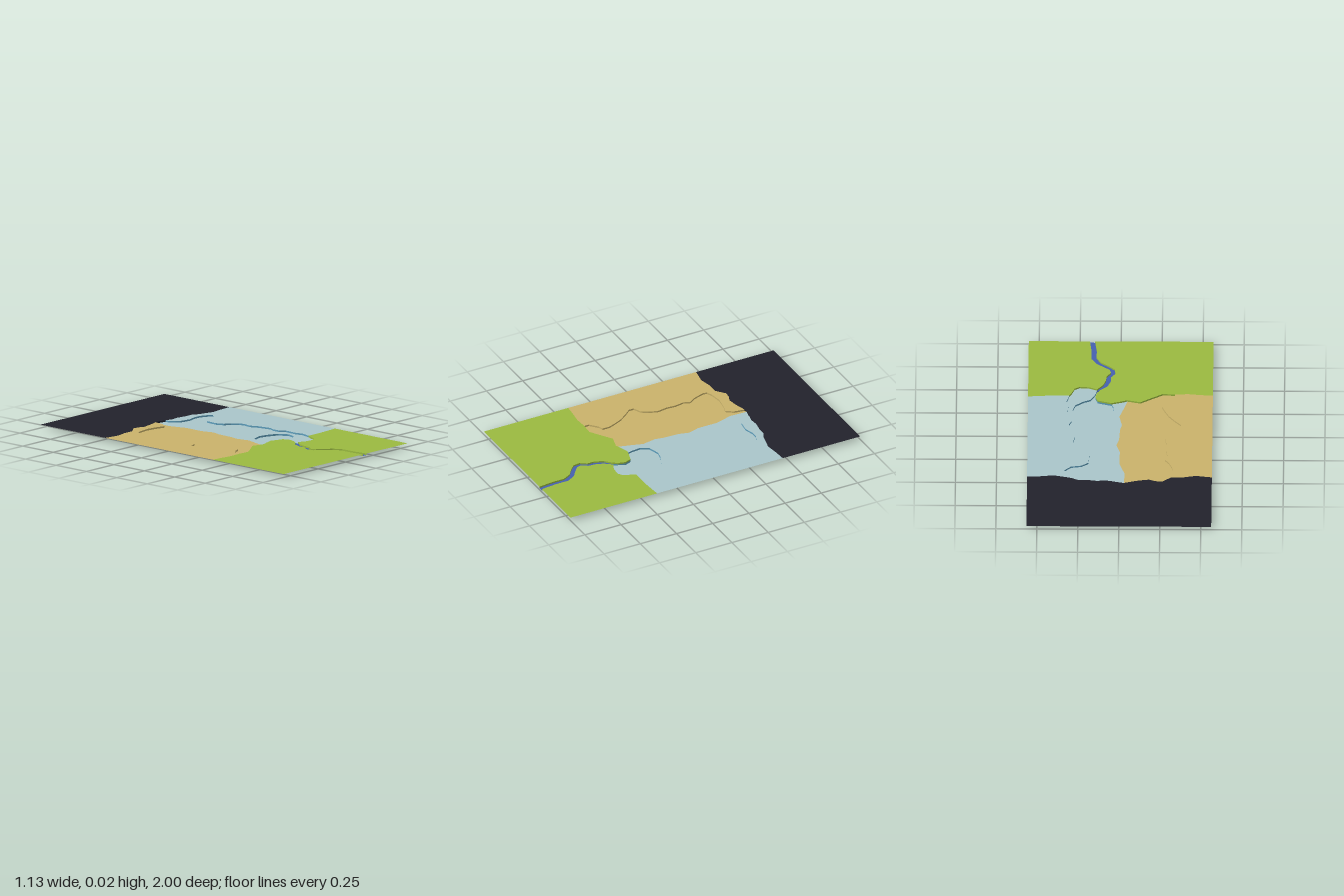
import * as THREE from 'three';

const UNIT = 189; // map steps per model unit
const W = 106.5, D = 189; // half width and half depth of the map
const TOP = 0.021, FLOOR = 0.011, PIT = 0;

const mat = (name, color) => {
  const m = new THREE.MeshStandardMaterial({ color, side: THREE.DoubleSide });
  m.name = name;
  return m;
};

// Border lines as [x, z] map steps
const cliffWest = [[-W, -88], [-88, -85], [-74, -88], [-60, -88], [-49, -97], [-41, -96], [-34, -93], [-22, -95], [-8, -99]];
const cliffMid = [[-8, -99], [-5, -100], [4, -98], [7, -97]];
const cliffEast = [[7, -97], [16, -95], [26, -96], [38, -94], [48, -94], [56, -90], [76, -85], [91, -87], [W, -88]];
const basinWest = [[-8, -99], [-10, -86], [-16, -78], [-26, -81], [-40, -83], [-54, -81], [-61, -78], [-62, -74],
  [-60, -67], [-57, -59], [-52, -52], [-55, -44], [-53, -32], [-54, -22], [-52, -9], [-56, 1], [-61, 9], [-70, 13],
  [-70, 19], [-64, 26], [-56, 37], [-51, 48], [-48, 56], [-48, 65], [-54, 67], [-56, 69], [-63, 75], [-63, 81]];
const basinEast = [[7, -97], [7, -93], [12, -86], [16, -82], [30, -80], [41, -83], [50, -83], [59, -79], [64, -75],
  [56, -67], [44, -65], [36, -59], [35, -44], [39, -35], [46, -31], [52, -24], [54, -17], [52, -7], [56, 2], [58, 13],
  [59, 19], [56, 26], [56, 35], [61, 41], [60, 56], [62, 66], [59, 78]];
const shoreWest = [[-W, 79], [-94, 80], [-78, 82], [-63, 81]];
const shoreSand = [[-63, 81], [-49, 82], [-38, 75], [-23, 65], [-8, 69]];
const shoreIce = [[-8, 69], [0, 66], [10, 63]];
const shorePit = [[10, 63], [26, 68], [29, 76], [27, 84], [23, 90]];
const bankEast = [[59, 78], [56, 84], [53, 92], [47, 96], [36, 95], [27, 91]];
const shoreEast = [[59, 78], [81, 78], [W, 76]];
const divide = [[-5, -100], [-6, -79], [0, -59], [0, -34], [4, -20], [1, -9], [0, 11], [-2, 21], [1, 38], [-3, 51], [-8, 69]];
const pitRim = [[10, 63], [8, 57], [7, 46], [12, 36], [26, 32], [36, 34], [49, 40], [55, 51], [52, 61], [42, 69], [35, 72], [29, 83], [27, 91]];
const riverWest = [[23, 90], [15, 97], [11, 108], [11, 116], [6, 123], [7, 132], [14, 139], [23, 146], [28, 156], [28, 171], [30, D]];
const riverEast = [[27, 91], [20, 100], [17, 109], [16, 118], [11, 125], [13, 131], [19, 136], [28, 143], [34, 153], [34, 170], [36, D]];

const back = (line) => [...line].reverse();

// Join border lines into one outline, dropping shared end points
function outline(...lines) {
  const pts = lines.flat().filter((p, i, a) => {
    const q = a[(i + a.length - 1) % a.length];
    return p[0] !== q[0] || p[1] !== q[1];
  });
  return new THREE.Shape(pts.map(([x, z]) => new THREE.Vector2(x / UNIT, -z / UNIT)));
}

// Upright strip following a border line
function strip(line, low, high) {
  const pos = [], index = [];
  for (let i = 0; i < line.length - 1; i++) {
    const [a, b] = [line[i], line[i + 1]];
    for (const [p, y] of [[a, low], [b, low], [b, high], [a, high]]) pos.push(p[0] / UNIT, y, p[1] / UNIT);
    const k = i * 4;
    index.push(k, k + 1, k + 2, k, k + 2, k + 3);
  }
  const g = new THREE.BufferGeometry();
  g.setAttribute('position', new THREE.Float32BufferAttribute(pos, 3));
  g.setIndex(index);
  g.computeVertexNormals();
  return g;
}

export function createModel() {
  const group = new THREE.Group();
  const dark = mat('dark rock', 0x22222c);
  const sand = mat('sand', 0xc9b26a);
  const ice = mat('pale ice', 0xa9c5ca);
  const iceWall = mat('blue ice', 0x5f9fbd);
  const grass = mat('grass', 0x9aba40);
  const water = mat('river water', 0x4560b0);

  const add = (name, geometry, material) => {
    const mesh = new THREE.Mesh(geometry, material);
    mesh.name = name;
    group.add(mesh);
  };
  const plate = (name, y, material, ...lines) =>
    add(name, new THREE.ShapeGeometry(outline(...lines)).rotateX(-Math.PI / 2).translate(0, y, 0), material);
  const wall = (name, line, low, high, material) => add(name, strip(line, low, high), material);

  // Upper ground
  plate('darkGround', TOP, dark, [[-W, -D]], cliffWest, cliffMid, cliffEast, [[W, -D]]);
  plate('sandGround', TOP, sand, cliffWest, basinWest, back(shoreWest));
  plate('iceGround', TOP, ice, cliffEast, back(shoreEast), back(basinEast));
  plate('grassWest', TOP, grass, shoreWest, shoreSand, shoreIce, shorePit, riverWest, [[-W, D]]);
  plate('grassEast', TOP, grass, back(shoreEast), bankEast, riverEast, [[W, D]]);

  // Sunken basin, pit and river bed
  plate('sandFloor', FLOOR, sand, basinWest, shoreSand, back(divide), [[-5, -100]]);
  plate('iceFloor', FLOOR, ice, divide, shoreIce, pitRim, back(bankEast), back(basinEast), [[4, -98]]);
  plate('pitFloor', PIT, ice, pitRim, back(shorePit));
  plate('riverBed', FLOOR, water, riverWest, back(riverEast));

  // Basin walls
  wall('darkBasinWall', cliffMid, FLOOR, TOP, dark);
  wall('sandBasinWall', basinWest, FLOOR, TOP, sand);
  wall('iceBasinWall', basinEast, FLOOR, TOP, iceWall);
  [shoreSand, shoreIce, shorePit, bankEast].forEach((line, i) => wall('grassBasinWall' + i, line, FLOOR, TOP, grass));

  // River banks, pit walls and waterfall
  wall('riverBankWest', riverWest, FLOOR, TOP, grass);
  wall('riverBankEast', riverEast, FLOOR, TOP, grass);
  wall('pitWall', pitRim, PIT, FLOOR, iceWall);
  wall('pitShoreWall', shorePit, PIT, FLOOR, iceWall);
  wall('waterfall', [[23, 90], [27, 91]], PIT, FLOOR, water);
  return group;
}
